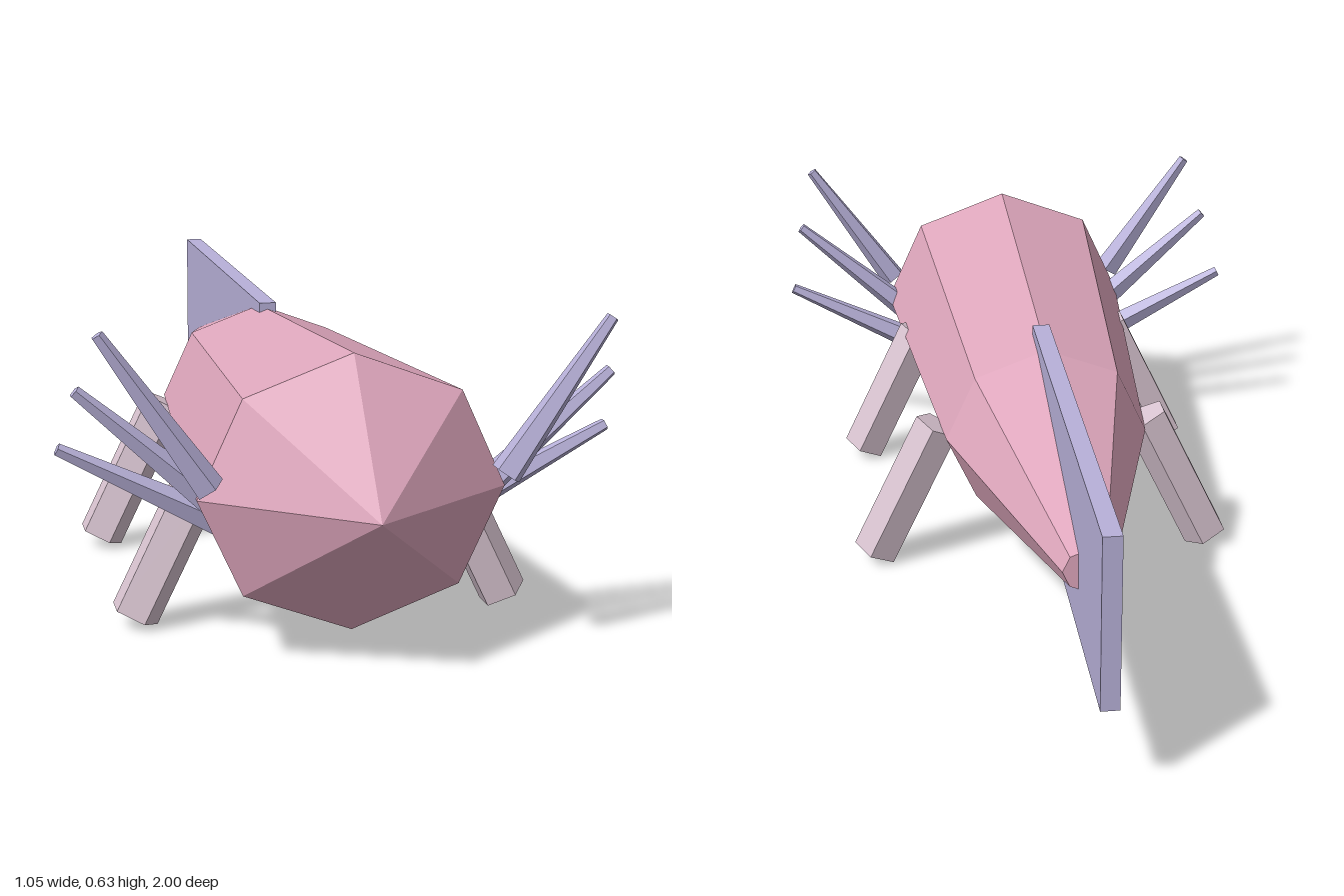
import * as THREE from 'three';

const flat = (name, color) => {
  const m = new THREE.MeshStandardMaterial({ color, flatShading: true });
  m.name = name;
  return m;
};

export function createModel() {
  const pink = flat('pink skin', 0xdfa7bd);
  const lavender = flat('lavender fin', 0xb8b1d9);
  const pale = flat('pale leg', 0xdac5d2);

  const model = new THREE.Group();
  model.name = 'amphibian';

  const add = (name, geometry, material, x, y, z, tilt = 0) => {
    const mesh = new THREE.Mesh(geometry, material);
    mesh.name = name;
    mesh.position.set(x, y, z);
    mesh.rotation.z = tilt;
    model.add(mesh);
  };

  // Eight-sided body: tail end, hips, head rim, snout tip
  const profile = [[0, -0.72], [0.048, -0.72], [0.213, -0.1], [0.285, 0.785], [0, 1]]
    .map(([r, z]) => new THREE.Vector2(r, z));
  const bodyGeometry = new THREE.LatheGeometry(profile, 8);
  bodyGeometry.rotateX(Math.PI / 2);
  bodyGeometry.scale(1, 0.903, 1);
  add('body', bodyGeometry, pink, 0, 0.312, 0);

  // Tall thin tail fin
  add('tailFin', new THREE.BoxGeometry(0.036, 0.342, 0.995), lavender, 0, 0.354, -0.5025);

  // Five-sided limbs with one edge pointing to +x
  const legGeometry = new THREE.CylinderGeometry(0.05, 0.05, 0.325, 5, 1, false, Math.PI / 2);
  const gillGeometry = new THREE.CylinderGeometry(0.012, 0.03, 0.34, 5, 1, false, Math.PI / 2);

  for (const side of [1, -1]) {
    const label = side > 0 ? 'left' : 'right';

    // Splayed legs
    for (const [pair, z] of [['Front', 0.53], ['Back', -0.027]]) {
      add(label + pair + 'Leg', legGeometry, pale, side * 0.296, 0.169, z, side * 0.45);
    }

    // Gill stalks fanning out, each placed by its tip and lean
    [[0.463, 0.627, 0.835, 0.6], [0.495, 0.512, 0.75, 0.85], [0.52, 0.388, 0.663, 1.1]]
      .forEach(([x, y, z, lean], i) => {
        add(label + 'Gill' + (i + 1), gillGeometry, lavender,
          side * (x - 0.17 * Math.sin(lean)), y - 0.17 * Math.cos(lean), z, -side * lean);
      });
  }

  return model;
}
